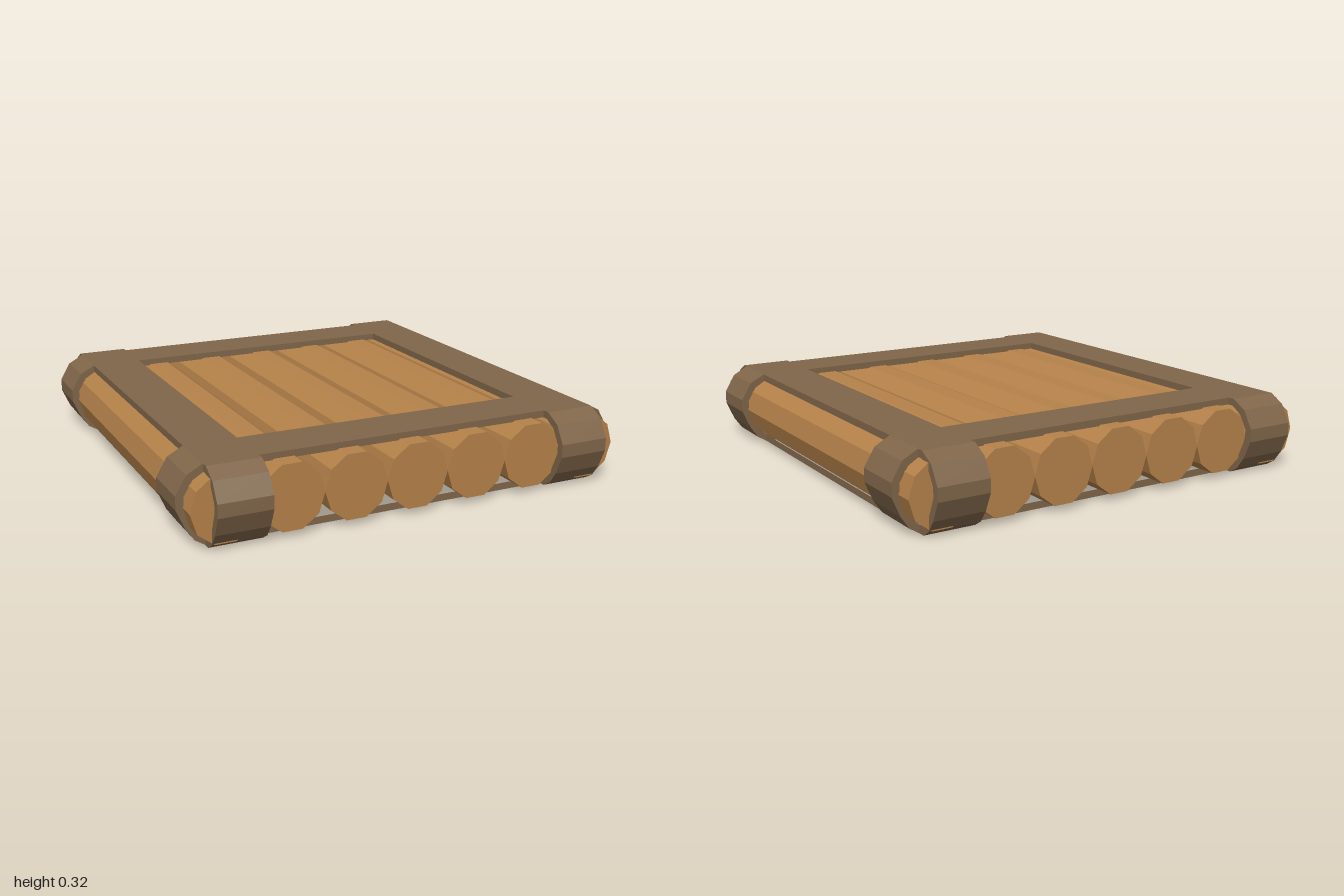
import * as THREE from 'three';

const wood = new THREE.MeshStandardMaterial({ color: 0xb5824a, flatShading: true });
const strapMaterial = new THREE.MeshStandardMaterial({ color: 0x80664a, flatShading: true });

// Right-hand end of a strap loop, top to bottom: distance in from the tip, height
const outerEnd = [[0.11, 0.32], [0.045, 0.285], [0, 0.21], [0, 0.155], [0.035, 0.075], [0.07, 0.025], [0.11, 0]];
const innerEnd = [[0.115, 0.29], [0.068, 0.262], [0.032, 0.203], [0.032, 0.162], [0.063, 0.09], [0.09, 0.05], [0.115, 0.03]];

function loopPoints(end, reach) {
  const right = end.map(([d, y]) => new THREE.Vector2(reach - d, y));
  const left = end.map(([d, y]) => new THREE.Vector2(d - reach, y)).reverse();
  return [...right, ...left];
}

// A closed flat band, running along x and centred on z = 0
function strapGeometry(reach, width) {
  const shape = new THREE.Shape(loopPoints(outerEnd, reach));
  shape.holes.push(new THREE.Path(loopPoints(innerEnd, reach)));
  const geometry = new THREE.ExtrudeGeometry(shape, { depth: width, bevelEnabled: false });
  return geometry.translate(0, 0, -width / 2);
}

export function createModel() {
  const model = new THREE.Group();
  model.name = 'raft';

  // Seven ten-sided logs lying side by side
  const logGeometry = new THREE.CylinderGeometry(0.135, 0.135, 1.87, 10)
    .rotateX(Math.PI / 2)
    .rotateZ(Math.PI / 2)
    .scale(1, 1.045, 1);
  for (let i = -3; i <= 3; i++) {
    const log = new THREE.Mesh(logGeometry, wood);
    log.name = 'log';
    log.position.set(i * 0.269, 0.161, 0);
    model.add(log);
  }

  // Two straps across the logs and two along them
  const crossGeometry = strapGeometry(0.97, 0.22);
  const longGeometry = strapGeometry(1, 0.22).rotateY(Math.PI / 2);
  for (const side of [-1, 1]) {
    const cross = new THREE.Mesh(crossGeometry, strapMaterial);
    cross.name = 'crossStrap';
    cross.position.z = side * 0.75;
    const long = new THREE.Mesh(longGeometry, strapMaterial);
    long.name = 'longStrap';
    long.position.x = side * 0.75;
    model.add(cross, long);
  }

  return model;
}
